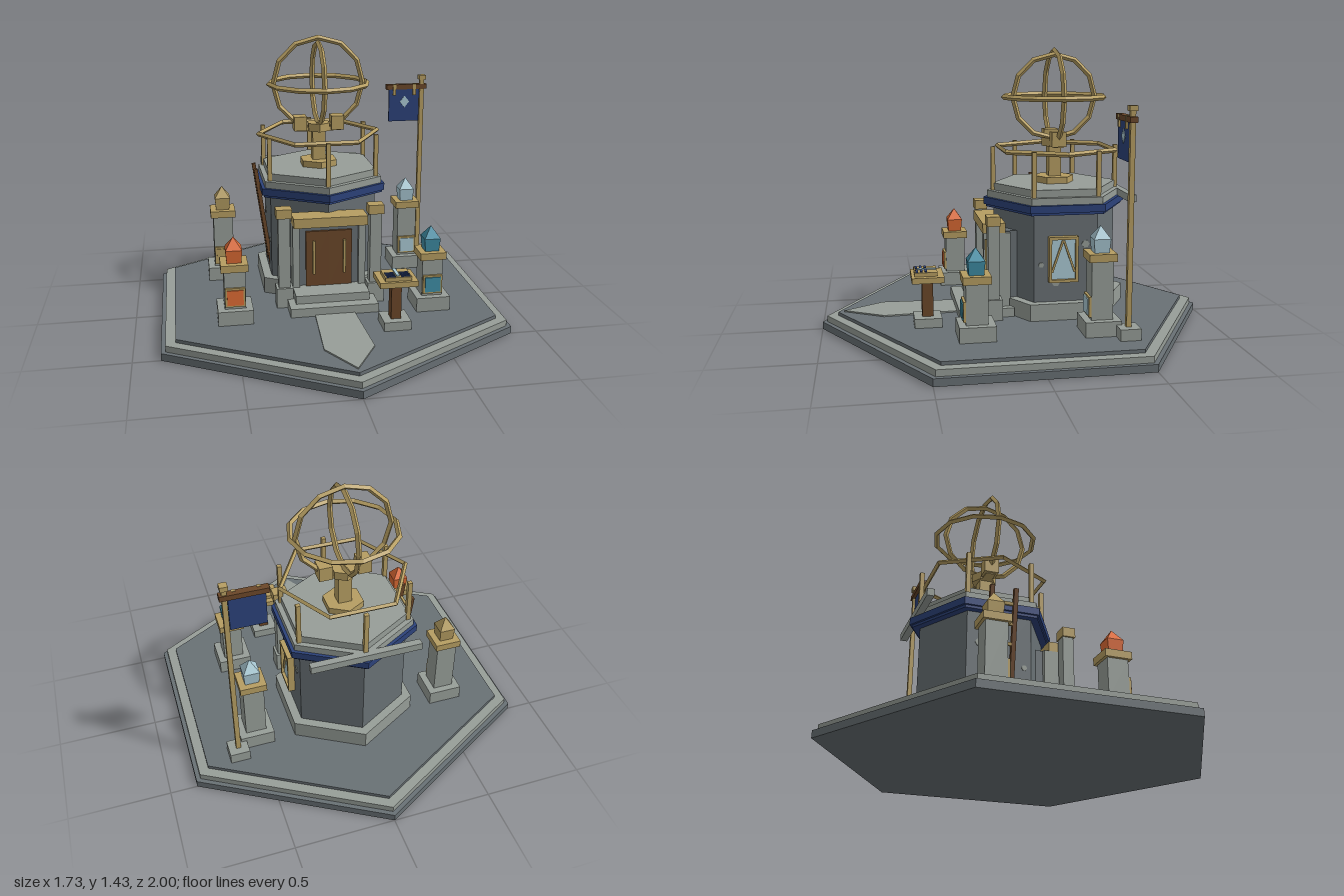
import * as THREE from 'three';

const mat = (name, color) => Object.assign(new THREE.MeshStandardMaterial({ color }), { name });

export function createModel() {
  const model = new THREE.Group();
  model.name = 'observatory';
  const darkStone = mat('dark stone', 0x697175), lightStone = mat('light stone', 0x979e98);
  const gold = mat('brass', 0xb69e62), brown = mat('wood', 0x6b4729);
  const blue = mat('navy', 0x2c427a), teal = mat('teal crystal', 0x4090a8);
  const pale = mat('pale crystal', 0xabcbd6), orange = mat('orange crystal', 0xe06c35);

  // Helpers: every mesh gets faceted normals
  const add = (name, geo, material, x, y, z, parent = model) => {
    const flat = geo.index ? geo.toNonIndexed() : geo;
    flat.computeVertexNormals();
    const m = new THREE.Mesh(flat, material);
    m.name = name;
    m.position.set(x, y, z);
    parent.add(m);
    return m;
  };
  // Box given by its centre x and z, and its bottom and top y
  const box = (name, material, x, z, y0, y1, w, d, parent) =>
    add(name, new THREE.BoxGeometry(w, y1 - y0, d), material, x, (y0 + y1) / 2, z, parent);
  // Hexagonal slab with corners on the z axis
  const hex = (name, material, r, y0, y1, z, parent) =>
    add(name, new THREE.CylinderGeometry(r, r, y1 - y0, 6), material, 0, (y0 + y1) / 2, z, parent);
  const group = (name, x = 0, y = 0, z = 0) => {
    const g = new THREE.Group();
    g.name = name;
    g.position.set(x, y, z);
    model.add(g);
    return g;
  };
  const plate = (pts, depth) => new THREE.ExtrudeGeometry(
    new THREE.Shape(pts.map(p => new THREE.Vector2(...p))), { depth, bevelEnabled: false });

  // Stepped base
  hex('baseBottom', darkStone, 1, 0, 0.037, 0);
  hex('baseRim', lightStone, 0.975, 0.037, 0.068, 0);
  hex('floor', darkStone, 0.92, 0.068, 0.085, 0);
  add('path', plate([[-0.1, -0.28], [0.1, -0.28], [0.12, -0.69], [0, -0.89], [-0.12, -0.69]].reverse(), 0.008),
    lightStone, 0, 0.084, 0).rotation.x = -Math.PI / 2;

  // Tower
  const cz = -0.21;
  hex('plinth', lightStone, 0.372, 0.085, 0.17, cz);
  hex('towerWall', darkStone, 0.322, 0.17, 0.63, cz);
  hex('blueCornice', blue, 0.375, 0.628, 0.665, cz);
  hex('blueCorniceFoot', blue, 0.362, 0.615, 0.628, cz);
  hex('roofLower', lightStone, 0.356, 0.665, 0.7, cz);
  hex('roofUpper', lightStone, 0.326, 0.7, 0.737, cz);
  box('backBeam', lightStone, 0, -0.552, 0.663, 0.7, 0.56, 0.036);

  // Lighter stones set in the walls
  for (const s of [-1, 1])
    for (const [z, y, r] of [[-0.16, 0.27, 0.022], [-0.085, 0.36, 0.014], [-0.31, 0.46, 0.02]]) {
      const stone = add('wallStone', new THREE.CylinderGeometry(r, r, 0.006, 6), lightStone, s * 0.28, y, z);
      stone.rotation.z = Math.PI / 2;
    }

  // Entrance with steps, door and columns
  box('lowerStep', lightStone, 0, 0.18, 0.085, 0.13, 0.45, 0.28);
  box('upperStep', lightStone, 0, 0.16, 0.13, 0.172, 0.38, 0.2);
  box('doorRecess', darkStone, 0, 0.06, 0.17, 0.515, 0.33, 0.12);
  box('lintel', gold, 0, 0.137, 0.51, 0.56, 0.38, 0.115);
  for (const s of [-1, 1]) {
    box('doorLeaf', brown, s * 0.0605, 0.125, 0.172, 0.47, 0.119, 0.018);
    box('doorHandle', gold, s * 0.08, 0.14, 0.24, 0.42, 0.012, 0.016);
    box('doorJamb', lightStone, s * 0.172, 0.1, 0.17, 0.51, 0.036, 0.09);
    box('columnBase', lightStone, s * 0.237, 0.15, 0.085, 0.19, 0.085, 0.085);
    box('column', lightStone, s * 0.237, 0.15, 0.19, 0.565, 0.06, 0.056);
    box('columnCapital', gold, s * 0.237, 0.152, 0.562, 0.61, 0.08, 0.066);
  }

  // Side window
  const win = group('window', 0.282, 0.39, -0.193);
  win.rotation.y = Math.PI / 2;
  box('pane', pale, 0, 0.008, -0.105, 0.105, 0.13, 0.016, win);
  for (const s of [-1, 1]) {
    box('frameSide', gold, s * 0.067, 0.015, -0.115, 0.115, 0.014, 0.034, win);
    box('frameBar', gold, 0, 0.015, s * 0.108 - 0.007, s * 0.108 + 0.007, 0.148, 0.034, win);
    box('muntin', gold, s * 0.03, 0.019, -0.085, 0.085, 0.01, 0.01, win).rotation.z = s * 0.33;
  }
  for (const m of win.children) if (m.name === 'muntin') m.position.y = 0.015;

  // Leaning ladder
  const ladder = group('ladder', -0.307, 0.46, cz);
  ladder.rotation.z = 0.139;
  for (const s of [-1, 1]) box('ladderRail', brown, 0, s * 0.06, -0.275, 0.28, 0.02, 0.022, ladder);
  for (let i = 0; i < 5; i++) {
    const y = -0.2 + i * 0.1;
    box('rung', gold, 0, 0, y - 0.008, y + 0.008, 0.014, 0.12, ladder);
  }

  // Roof railing
  for (let i = 0; i < 6; i++) {
    const a = i * Math.PI / 3;
    box('railPost', gold, Math.sin(a) * 0.325, cz + Math.cos(a) * 0.325, 0.7, 0.925, 0.022, 0.022);
  }
  add('rail', new THREE.TorusGeometry(0.323, 0.013, 4, 6), gold, 0, 0.913, cz).rotation.x = Math.PI / 2;

  // Ringed sphere on its stand
  const oz = -0.205;
  hex('standFoot', gold, 0.105, 0.735, 0.77, oz);
  box('standStem', gold, 0, oz, 0.77, 0.94, 0.07, 0.065);
  hex('standTop', gold, 0.065, 0.925, 0.968, oz);
  box('cradleArm', gold, 0, oz, 0.925, 0.945, 0.24, 0.05);
  for (const s of [-1, 1]) box('cradleBlock', gold, s * 0.1, oz, 0.93, 1.005, 0.068, 0.075);
  const ring = (name, r, rx, ry) =>
    add(name, new THREE.TorusGeometry(r, 0.014, 4, 12), gold, 0, 1.178, oz).rotation.set(rx, ry, 0);
  ring('frontRing', 0.239, 0, 0);
  ring('sideRing', 0.215, 0, Math.PI / 2);
  ring('horizonRing', 0.263, Math.PI / 2, 0);

  // Crystal lantern pillars
  const pillar = (name, x, z, top, crystal) => {
    const g = group(name, x, 0, z);
    box('pillarBase', lightStone, 0, 0, 0.085, 0.158, 0.174, 0.174, g);
    box('pillarShaft', lightStone, 0, 0, 0.158, top, 0.105, 0.105, g);
    box('pillarCap', gold, 0, 0, top, top + 0.037, 0.134, 0.134, g);
    box('panelFrame', gold, 0, 0.057, 0.172, 0.27, 0.1, 0.014, g);
    box('panel', crystal, 0, 0.066, 0.182, 0.26, 0.08, 0.008, g);
    const c = [[0, 0.05], [0.07, 0.058]];
    add('crystal', new THREE.CylinderGeometry(c[1][1], c[0][1], 0.066, 4), crystal, 0, top + 0.07, 0, g).rotation.y = Math.PI / 4;
    add('crystalTip', new THREE.ConeGeometry(0.058, 0.06, 4), crystal, 0, top + 0.133, 0, g).rotation.y = Math.PI / 4;
  };
  pillar('frontRightPillar', -0.5, 0.27, 0.353, orange);
  pillar('frontLeftPillar', 0.5, 0.27, 0.353, teal);
  pillar('backRightPillar', -0.52, -0.32, 0.44, gold);
  pillar('backLeftPillar', 0.52, -0.32, 0.44, pale);

  // Banner on its pole
  const banner = group('banner', 0.63, 0, -0.43);
  box('poleBase', lightStone, 0, 0, 0.085, 0.14, 0.1, 0.1, banner);
  box('pole', gold, 0, 0, 0.14, 1.15, 0.024, 0.024, banner);
  box('finial', gold, 0, 0, 1.145, 1.17, 0.038, 0.038, banner);
  box('crossbar', brown, -0.09, 0, 1.093, 1.12, 0.23, 0.036, banner);
  box('cloth', blue, -0.103, 0.005, 0.91, 1.1, 0.174, 0.01, banner);
  for (const x of [-0.16, -0.045]) box('bannerLoop', gold, x, 0.012, 1.06, 1.122, 0.017, 0.016, banner);
  add('bannerDiamond', plate([[0, -0.034], [0.027, 0], [0, 0.034], [-0.027, 0]], 0.004),
    pale, -0.1, 1.022, 0.009, banner);

  // Reading stand
  const stand = group('lectern', 0.267, 0, 0.48);
  box('lecternBase', lightStone, 0, 0, 0.085, 0.13, 0.134, 0.134, stand);
  box('lecternPost', brown, 0, 0, 0.13, 0.313, 0.05, 0.054, stand);
  box('lecternTop', gold, 0, 0, 0.313, 0.341, 0.188, 0.156, stand);
  box('tablet', gold, 0, 0.008, 0.341, 0.36, 0.13, 0.11, stand);
  box('tabletSpine', pale, 0, 0.002, 0.36, 0.366, 0.016, 0.09, stand);
  for (const s of [-1, 1])
    for (let i = 0; i < 3; i++)
      box('tabletLine', blue, s * 0.036, 0.008 + i * 0.022, 0.36, 0.365, 0.044, 0.011, stand);

  return model;
}
